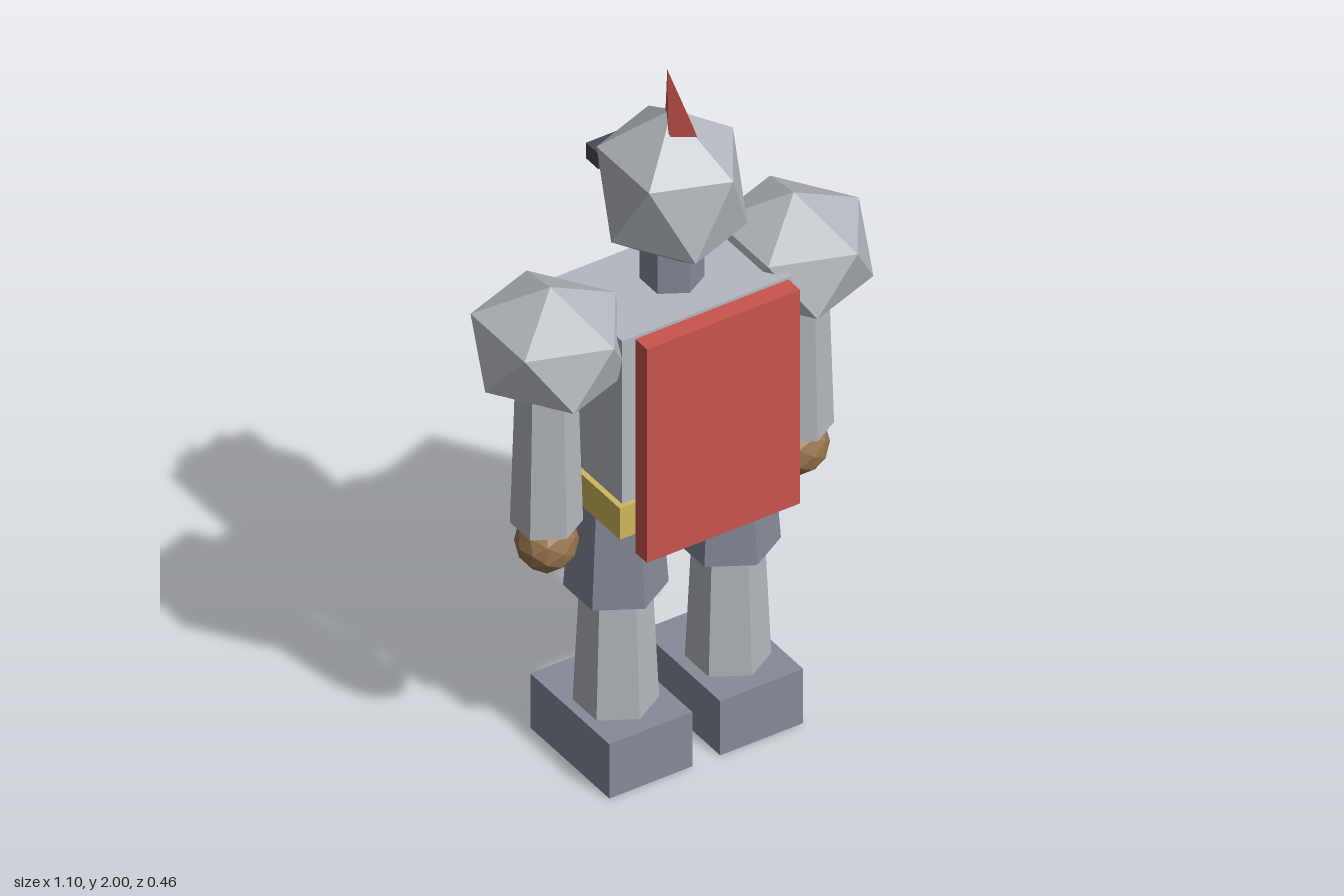
import * as THREE from 'three';
import { ConvexGeometry } from 'three/addons/geometries/ConvexGeometry.js';

const mat = (color) => new THREE.MeshStandardMaterial({ color, flatShading: true });
const light = mat(0xb4b8be), steel = mat(0x858b98), red = mat(0xc8554c);
const gold = mat(0xd0b85c), brown = mat(0x9c7850), dark = mat(0x484a54);

// Twelve-point ball with a vertex at each pole and two staggered rings of five
function poleIcosahedron() {
  const pts = [new THREE.Vector3(0, 1, 0), new THREE.Vector3(0, -1, 0)];
  const h = 1 / Math.sqrt(5), r = 2 * h;
  for (let i = 0; i < 5; i++) {
    const a = (i * Math.PI * 2) / 5;
    pts.push(new THREE.Vector3(r * Math.cos(a), h, r * Math.sin(a)));
    pts.push(new THREE.Vector3(-r * Math.cos(a), -h, r * Math.sin(a)));
  }
  return new ConvexGeometry(pts);
}

export function createModel() {
  const model = new THREE.Group();

  const add = (name, geometry, material, x, y, z) => {
    const mesh = new THREE.Mesh(geometry, material);
    mesh.name = name;
    mesh.position.set(x, y, z);
    model.add(mesh);
    return mesh;
  };
  // Box given by its limits on each axis
  const box = (name, material, x0, x1, y0, y1, z0, z1) =>
    add(name, new THREE.BoxGeometry(x1 - x0, y1 - y0, z1 - z0), material,
      (x0 + x1) / 2, (y0 + y1) / 2, (z0 + z1) / 2);
  // Upright six-sided limb section
  const hex = (name, material, x, y0, y1, rBottom, rTop) =>
    add(name, new THREE.CylinderGeometry(rTop, rBottom, y1 - y0, 6), material, x, (y0 + y1) / 2, 0);

  // Body
  box('torso', light, -0.25, 0.25, 0.8, 1.38, -0.157, 0.157);
  box('belt', gold, -0.265, 0.265, 0.79, 0.885, -0.17, 0.17);
  box('chestPlate', gold, -0.17, 0.17, 1.04, 1.31, -0.23, -0.15);
  box('cape', red, -0.225, 0.225, 0.74, 1.39, 0.178, 0.23);

  // Head
  hex('neck', steel, 0, 1.36, 1.5, 0.08, 0.08);
  add('head', poleIcosahedron(), light, 0, 1.66, 0).scale.set(0.2, 0.23, 0.223);
  box('visor', dark, -0.108, 0.108, 1.65, 1.697, -0.22, -0.165);

  // Four-sided crest, flattened and tilted
  const crestShape = new THREE.ConeGeometry(0.078, 0.165, 4).translate(0, 0.0825, 0).scale(0.47, 1, 1);
  add('crest', crestShape, red, 0, 1.845, 0.04).rotation.x = -0.38;

  // Arms and legs
  for (const [side, s] of [['left', 1], ['right', -1]]) {
    add(side + 'Shoulder', poleIcosahedron(), light, 0.358 * s, 1.325, 0).scale.set(0.214, 0.168, 0.23);
    hex(side + 'Arm', light, 0.369 * s, 0.785, 1.3, 0.09, 0.075);
    add(side + 'Hand', new THREE.IcosahedronGeometry(1, 1), brown, 0.369 * s, 0.73, 0).scale.set(0.08, 0.087, 0.08);
    hex(side + 'Thigh', steel, 0.165 * s, 0.515, 0.82, 0.13, 0.108);
    hex(side + 'Shin', light, 0.165 * s, 0.15, 0.53, 0.107, 0.09);
    const foot = box(side + 'Foot', steel, -0.122, 0.122, 0, 0.165, -0.2, 0.153);
    foot.position.x = 0.163 * s;
  }
  return model;
}
